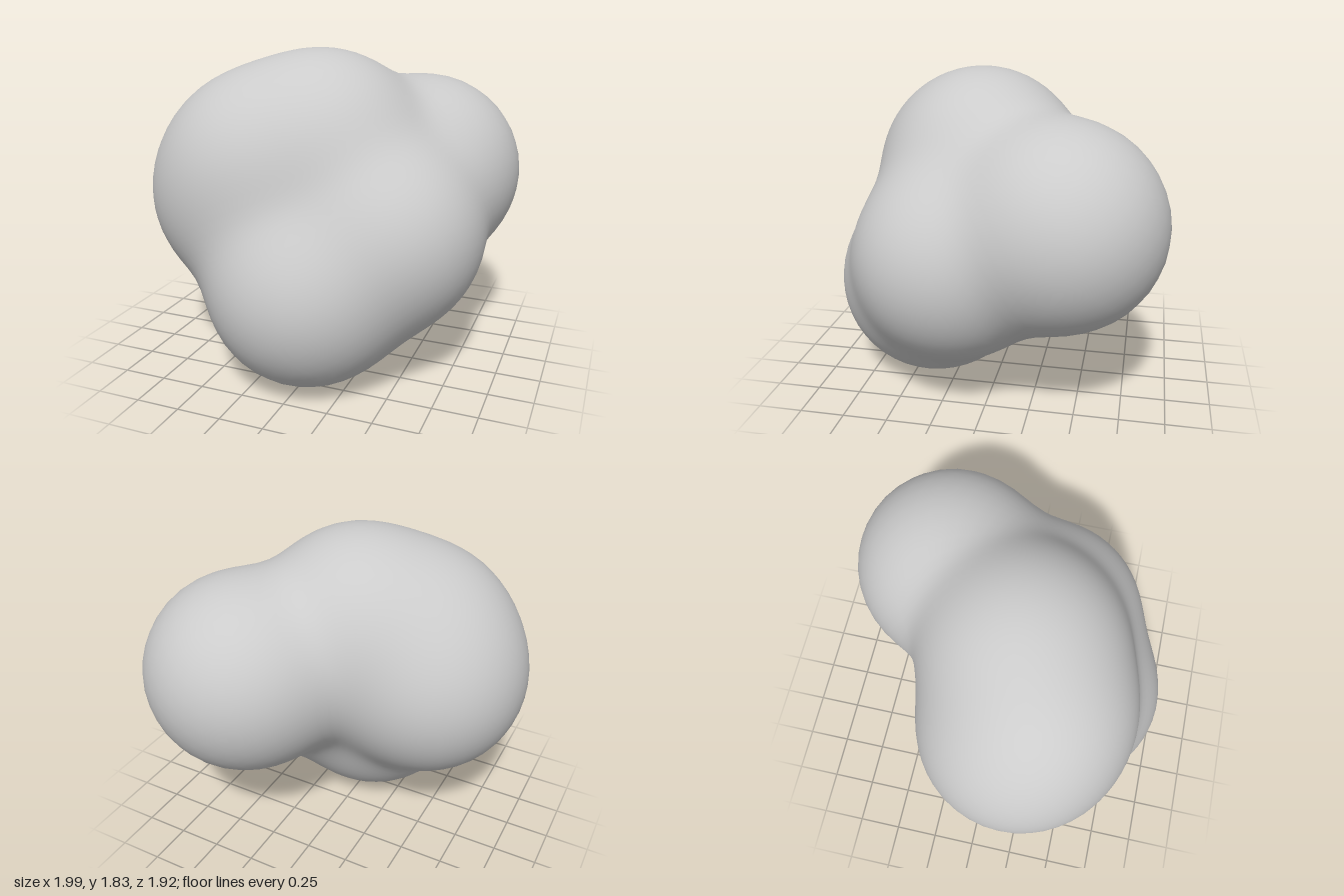
import * as THREE from 'three';
import { mergeVertices } from 'three/addons/utils/BufferGeometryUtils.js';

// Overlapping lobes that melt into one body: x, y, z, radius
const LOBES = [
  [0.43, 1.08, -0.4, 0.562],   // rear lobe
  [-0.43, 0.99, 0.18, 0.562],  // right side lobe
  [-0.34, 1.2, 0.26, 0.495],   // upper front shoulder
  [0, 0.56, 0.4, 0.558],       // bottom lobe
  [-0.02, 1.27, 0.1, 0.55],    // top lobe
  [0.36, 0.84, 0.19, 0.552],   // left front lobe
];
const SHARPNESS = 12;
const CENTRE = new THREE.Vector3(0.02, 1.0, 0.1);

// Smooth union: the surface lies where the sum equals 1
function field(p) {
  let sum = 0;
  for (const [x, y, z, r] of LOBES) {
    const d = Math.hypot(p.x - x, p.y - y, p.z - z);
    sum += Math.exp(-SHARPNESS * (d - r));
  }
  return sum;
}

// Distance from the centre to the surface along a direction
function reach(dir) {
  const p = new THREE.Vector3();
  const at = (t) => field(p.copy(CENTRE).addScaledVector(dir, t));
  let outer = 1.8;
  while (outer > 0.1 && at(outer) < 1) outer -= 0.02;
  let inner = outer;
  outer += 0.02;
  for (let i = 0; i < 18; i++) {
    const mid = (inner + outer) / 2;
    if (at(mid) < 1) outer = mid;
    else inner = mid;
  }
  return inner;
}

export function createModel() {
  const group = new THREE.Group();
  group.name = 'lobedBlob';

  // Even sphere whose vertices are moved out to the blended surface
  const sphere = new THREE.IcosahedronGeometry(1, 14);
  sphere.deleteAttribute('uv');
  sphere.deleteAttribute('normal');
  const geometry = mergeVertices(sphere, 1e-4);
  const pos = geometry.attributes.position;
  const v = new THREE.Vector3();
  for (let i = 0; i < pos.count; i++) {
    v.fromBufferAttribute(pos, i).normalize();
    v.multiplyScalar(reach(v)).add(CENTRE);
    pos.setXYZ(i, v.x, v.y, v.z);
  }
  geometry.computeVertexNormals();

  const body = new THREE.Mesh(geometry, new THREE.MeshStandardMaterial({ color: 0xcccccc }));
  body.name = 'body';
  group.add(body);
  return group;
}
